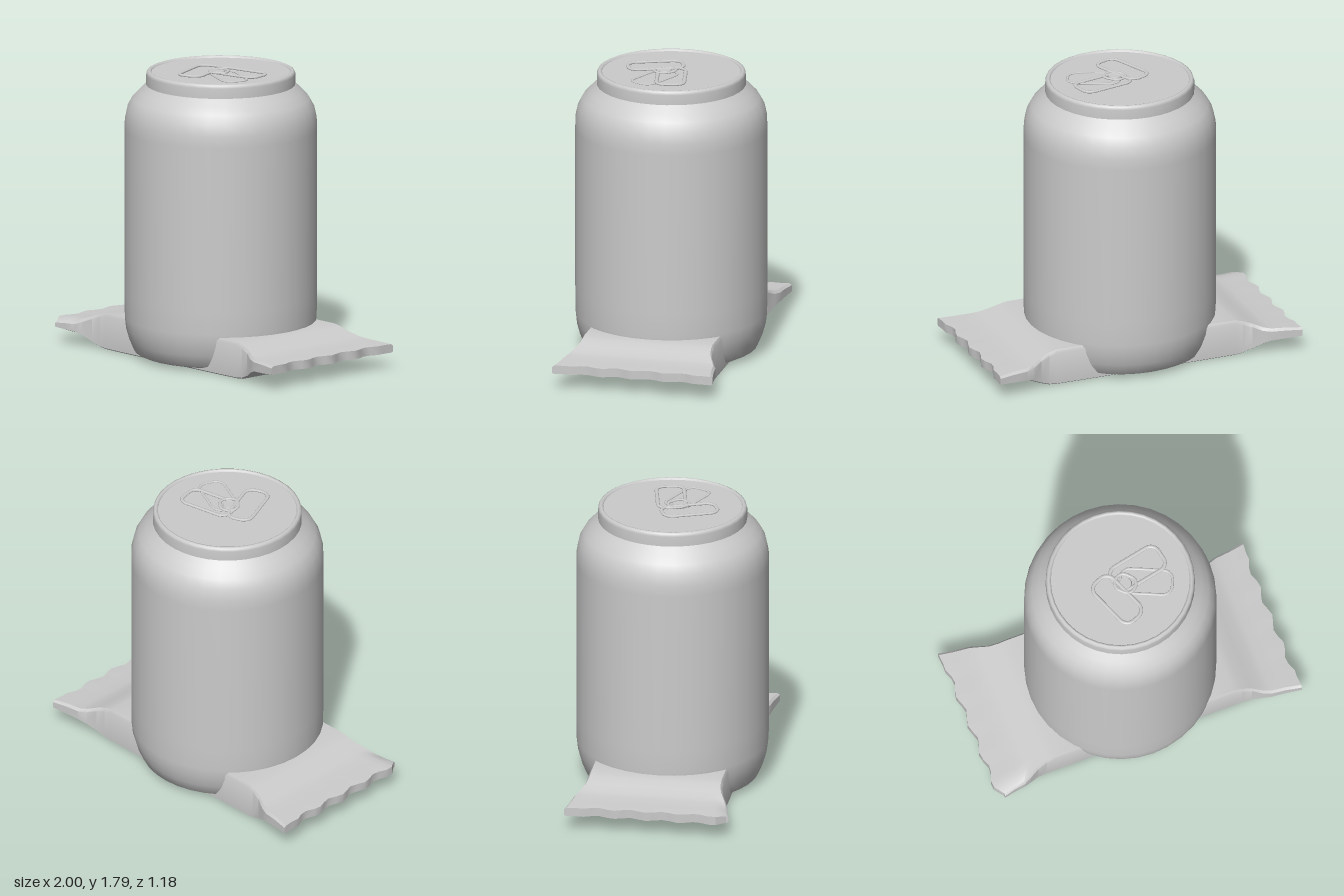
import * as THREE from 'three';
import { toCreasedNormals } from 'three/addons/utils/BufferGeometryUtils.js';

const material = new THREE.MeshStandardMaterial({ color: 0xcccccc, side: THREE.DoubleSide });

function addMesh(parent, name, geometry) {
  const mesh = new THREE.Mesh(geometry, material);
  mesh.name = name;
  parent.add(mesh);
  return mesh;
}

// Can: a turned profile; a repeated point keeps that edge sharp
function canGeometry() {
  const profile = [
    [0, 0.015], [0.44, 0.015], [0.44, 0.015], [0.5, 0.025], [0.53, 0.04], [0.56, 0.11],
    [0.58, 0.18], [0.588, 0.25], [0.59, 0.4], [0.59, 1.42], [0.588, 1.49], [0.573, 1.56],
    [0.543, 1.615], [0.5, 1.66], [0.457, 1.702], [0.457, 1.702], [0.457, 1.765],
    [0.452, 1.782], [0.44, 1.788], [0.43, 1.786], [0.425, 1.776], [0.425, 1.776], [0, 1.776],
  ];
  return new THREE.LatheGeometry(profile.map(([r, y]) => new THREE.Vector2(r, y)), 36);
}

// Wrapper: closed cross-sections along x, flattening into wavy sealed ends
function wrapperGeometry() {
  // distance from the middle, top, bottom, half width
  const half = [
    [0, 0.232, 0.005, 0.417], [0.45, 0.235, 0.005, 0.417], [0.59, 0.235, 0.006, 0.417],
    [0.64, 0.223, 0.012, 0.419], [0.7, 0.202, 0.035, 0.43], [0.76, 0.178, 0.068, 0.458],
    [0.81, 0.168, 0.088, 0.477], [0.9, 0.164, 0.092, 0.487], [1, 0.157, 0.103, 0.506],
  ];
  const sections = [
    ...half.slice(1).reverse().map(([x, ...rest]) => [-x, ...rest]),
    ...half,
  ];
  const columns = [-1, -0.97];
  for (let i = -9; i <= 9; i++) columns.push(i * 0.095);
  columns.push(0.97, 1);
  const positions = [], index = [];
  const ringSize = columns.length * 2;

  sections.forEach(([x, top, bottom, width]) => {
    const end = Math.max(0, (Math.abs(x) - 0.8) / 0.2);
    const place = (t, upper) => {
      const edge = Math.abs(t) === 1;
      const inset = Math.min(0.02, (top - bottom) * 0.2);
      const wave = 0.015 * end * (1 - Math.cos(t * Math.PI * 5)) * (Math.abs(t) < 0.9 ? 1 : 0);
      let px = x - Math.sign(x) * wave;
      let py = upper ? top - (edge ? inset : 0) : bottom + (edge ? inset * 0.4 : 0);
      // the front left flap is shorter and lies a little lower
      if (x < -0.8 && t > 0.86) {
        px += 0.05 * end;
        if (upper) py -= 0.012;
      }
      positions.push(px, py, t * width - 0.004);
    };
    columns.forEach((t) => place(t, true));
    [...columns].reverse().forEach((t) => place(t, false));
  });

  for (let s = 0; s < sections.length - 1; s++) {
    for (let i = 0; i < ringSize; i++) {
      const a = s * ringSize + i, b = s * ringSize + (i + 1) % ringSize;
      index.push(a, b, a + ringSize, b, b + ringSize, a + ringSize);
    }
  }
  // sealed end faces
  const last = (sections.length - 1) * ringSize;
  for (let i = 0; i < columns.length - 1; i++) {
    const j = ringSize - 1 - i;
    index.push(i, j, i + 1, i + 1, j, j - 1);
    index.push(last + i, last + i + 1, last + j, last + i + 1, last + j - 1, last + j);
  }
  const geometry = new THREE.BufferGeometry();
  geometry.setAttribute('position', new THREE.Float32BufferAttribute(positions, 3));
  geometry.setIndex(index);
  return toCreasedNormals(geometry, 0.6);
}

// Rounded rectangle outline, lying flat, swept with a thin bar
class RoundedLoop extends THREE.Curve {
  constructor(length, width, radius) {
    super();
    const path = new THREE.Path();
    const a = length / 2, b = width / 2, q = Math.PI / 2;
    path.moveTo(a, 0);
    path.absarc(a - radius, b - radius, radius, 0, q);
    path.absarc(-a + radius, b - radius, radius, q, 2 * q);
    path.absarc(-a + radius, -b + radius, radius, 2 * q, 3 * q);
    path.absarc(a - radius, -b + radius, radius, 3 * q, 4 * q);
    path.lineTo(a, 0);
    this.path = path;
  }
  getPoint(t, target = new THREE.Vector3()) {
    const p = this.path.getPointAt(t % 1);
    return target.set(p.x, 0, p.y);
  }
}

function addLoop(parent, name, { length, width, radius, bar, x, y, z, angle }) {
  const curve = new RoundedLoop(length, width, radius);
  const mesh = addMesh(parent, name, new THREE.TubeGeometry(curve, 64, bar, 8, true));
  mesh.position.set(x, y, z);
  mesh.rotation.y = angle;
  mesh.scale.y = 0.6;
}

export function createModel() {
  const model = new THREE.Group();
  model.name = 'canOnWrapper';

  addMesh(model, 'canBody', canGeometry());
  addMesh(model, 'wrapper', wrapperGeometry());

  // Pull tab, opening outline and rivet on the lid
  const tab = new THREE.Group();
  tab.name = 'lidFittings';
  model.add(tab);
  addLoop(tab, 'pullRing',
    { length: 0.34, width: 0.155, radius: 0.06, bar: 0.012, x: -0.065, y: 1.788, z: 0.115, angle: 1.95 });
  addLoop(tab, 'openingRing',
    { length: 0.34, width: 0.17, radius: 0.055, bar: 0.012, x: 0.125, y: 1.785, z: -0.03, angle: 0.2 });
  addLoop(tab, 'openingOutline',
    { length: 0.32, width: 0.16, radius: 0.06, bar: 0.009, x: 0.145, y: 1.779, z: 0.068, angle: -0.42 });
  addLoop(tab, 'rivetRing',
    { length: 0.13, width: 0.11, radius: 0.05, bar: 0.01, x: 0.02, y: 1.789, z: 0.035, angle: -0.8 });
  addMesh(tab, 'rivet', new THREE.CylinderGeometry(0.036, 0.042, 0.016, 20)).position.set(0.02, 1.784, 0.035);

  return model;
}
